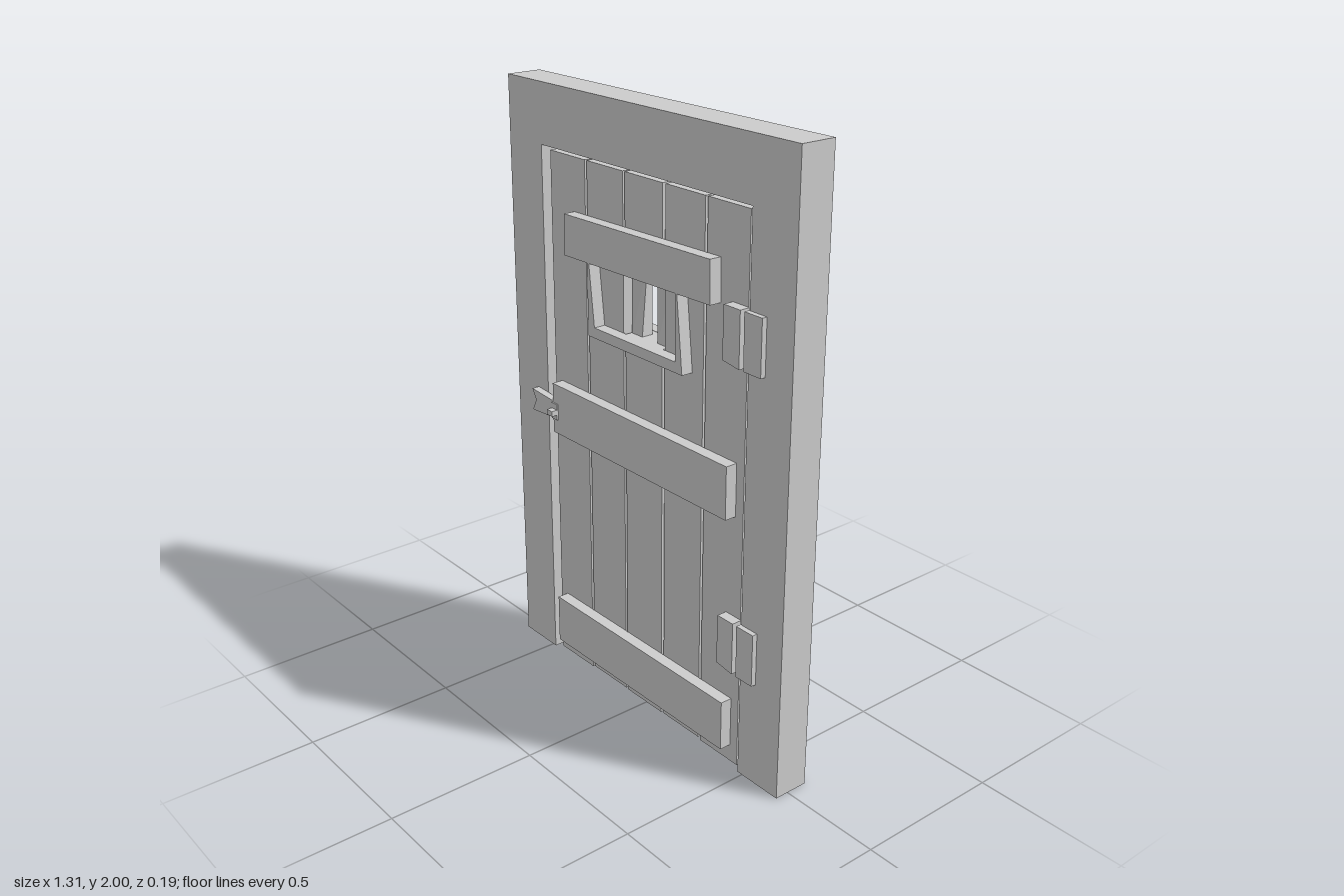
import * as THREE from 'three';

const grey = new THREE.MeshStandardMaterial({ color: 0xcccccc });
grey.name = 'plain grey';

export function createModel() {
  const door = new THREE.Group();
  door.name = 'plankDoor';

  const add = (name, geometry, parent = door) => {
    const mesh = new THREE.Mesh(geometry, grey);
    mesh.name = name;
    parent.add(mesh);
    return mesh;
  };
  // Box given by its limits on each axis
  const box = (name, x0, x1, y0, y1, z0, z1) =>
    add(name, new THREE.BoxGeometry(x1 - x0, y1 - y0, z1 - z0)
      .translate((x0 + x1) / 2, (y0 + y1) / 2, (z0 + z1) / 2));
  // Flat outline pushed out between two depths
  const slab = (name, points, z0, z1) => {
    const shape = new THREE.Shape(points.map(([x, y]) => new THREE.Vector2(x, y)));
    return add(name, new THREE.ExtrudeGeometry(shape, { depth: z1 - z0, bevelEnabled: false })
      .translate(0, 0, z0));
  };

  // Surrounding frame, open at the floor
  slab('frame', [[-0.655, 0], [-0.485, 0], [-0.485, 1.805], [0.48, 1.805],
    [0.48, 0], [0.655, 0], [0.655, 2], [-0.655, 2]], -0.073, 0.047);

  // Five planks; the middle one is cut for the window
  const back = -0.056, front = 0.03;
  const planks = [[-0.462, -0.285, 0.004], [-0.275, -0.099, 0.01], [-0.09, 0.086, 0.008],
    [0.098, 0.272, 0.01], [0.282, 0.457, 0.004]];
  planks.forEach(([x0, x1, y0], i) => {
    if (i === 2) {
      box('middlePlankLower', x0, x1, y0, 1.285, back, front);
      box('middlePlankUpper', x0, x1, 1.5, 1.79, back, front);
    } else box('plank', x0, x1, y0, 1.79, back, front);
  });

  // Cross boards and window trim on both faces
  for (const [side, z0, z1] of [['front', front, 0.07], ['back', -0.096, back]]) {
    const m = side === 'front' ? 1 : -1;
    const board = (name, pts) =>
      slab(side + name, m > 0 ? pts : pts.map(([x, y]) => [-x, y]), z0, z1);
    box(side + 'LowerBoard', -0.427, 0.424, 0.063, 0.233, z0, z1);
    box(side + 'MiddleBoard', -0.427, 0.424, 0.86, 1.032, z0, z1);
    board('UpperBoard', [[-0.345, 1.485], [0.342, 1.497], [0.339, 1.63], [-0.342, 1.618]]);
    board('WindowSill', [[-0.226, 1.252], [0.224, 1.252], [0.22, 1.286], [-0.226, 1.286]]);
    board('WindowTrimLeft', [[-0.226, 1.28], [-0.194, 1.28], [-0.22, 1.5], [-0.228, 1.5]]);
    board('WindowTrimRight', [[0.192, 1.28], [0.221, 1.28], [0.198, 1.5], [0.19, 1.5]]);
  }

  // Twisted window bars
  for (const x of [-0.062, 0.06]) {
    const g = new THREE.BoxGeometry(0.05, 0.225, 0.04).toNonIndexed();
    const p = g.attributes.position;
    for (let i = 0; i < p.count; i++) {
      const a = p.getY(i) > 0 ? 0.5 : 0, px = p.getX(i), pz = p.getZ(i);
      p.setX(i, px * Math.cos(a) + pz * Math.sin(a));
      p.setZ(i, pz * Math.cos(a) - px * Math.sin(a));
    }
    g.computeVertexNormals();
    add('windowBar', g.translate(x, 1.393, -0.013));
  }

  // Hinge leaves on the model's left
  for (const y of [0.352, 1.338]) {
    slab('hingeDoorLeaf', [[0.39, y + 0.01], [0.46, y], [0.46, y + 0.175], [0.392, y + 0.175]], front, 0.064);
    slab('hingeFrameLeaf', [[0.476, y + 0.175], [0.478, y], [0.548, y], [0.548, y + 0.175]], 0.04, 0.064);
  }

  // Latch handle with its small pivot
  box('handlePlate', -0.43, -0.4, 0.91, 0.965, front, 0.075);
  slab('handleLever', [[-0.54, 0.905], [-0.43, 0.912], [-0.405, 0.928], [-0.4, 0.945],
    [-0.43, 0.972], [-0.54, 0.98], [-0.52, 0.945]], 0.047, 0.073);
  box('handlePivot', -0.428, -0.4, 0.928, 0.946, 0.07, 0.096);

  return door;
}
